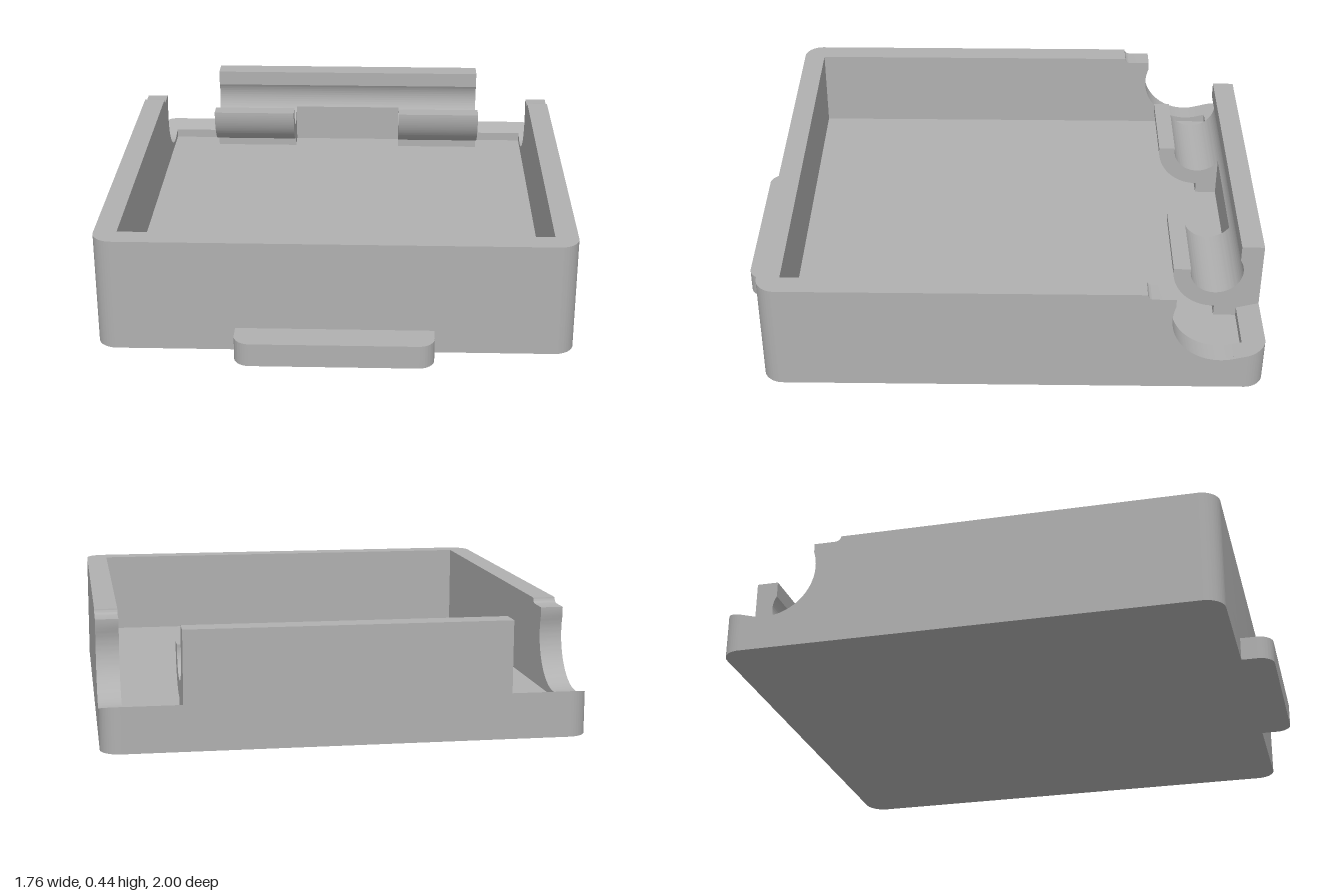
import * as THREE from 'three';
import { toCreasedNormals } from 'three/addons/utils/BufferGeometryUtils.js';

const W = 0.88, IN = 0.795, BACK = 1, FRONT = -0.88, R = 0.075; // plan sizes, v = -z
const H = 0.435, FLOOR = 0.11;
const PU = 0.83, PV = 0.32; // hinge axis, u = -z, v = y

const extrude = (shape, depth) =>
  new THREE.ExtrudeGeometry(shape, { depth, bevelEnabled: false, curveSegments: 28 });

// plan outline (x, -z) raised from y0 to y1
function raise(shape, y0, y1) {
  return extrude(shape, y1 - y0).rotateX(-Math.PI / 2).translate(0, y0, 0);
}

// side profile (-z, y) swept from x0 to x1
function sweep(shape, x0, x1) {
  return extrude(shape, x1 - x0).rotateY(Math.PI / 2).translate(x0, 0, 0);
}

export function createModel() {
  const model = new THREE.Group();
  model.name = 'hingedTray';
  const grey = new THREE.MeshStandardMaterial({ color: 0xb0b0b0 });
  grey.name = 'grey';
  const add = (name, geo) => {
    const mesh = new THREE.Mesh(toCreasedNormals(geo, 0.5), grey);
    mesh.name = name;
    model.add(mesh);
  };

  // floor slab with rounded corners
  const floor = new THREE.Shape();
  floor.absarc(W - R, BACK - R, R, 0, Math.PI / 2);
  floor.absarc(-W + R, BACK - R, R, Math.PI / 2, Math.PI);
  floor.absarc(-W + R, FRONT + R, R, Math.PI, Math.PI * 1.5);
  floor.absarc(W - R, FRONT + R, R, Math.PI * 1.5, Math.PI * 2);
  floor.closePath();
  add('floor', raise(floor, 0, FLOOR));

  // U-shaped front and side walls
  const walls = new THREE.Shape();
  walls.moveTo(-IN, 0.5);
  walls.lineTo(-W, 0.5);
  walls.absarc(-W + R, FRONT + R, R, Math.PI, Math.PI * 1.5);
  walls.absarc(W - R, FRONT + R, R, Math.PI * 1.5, Math.PI * 2);
  walls.lineTo(W, 0.5);
  walls.lineTo(IN, 0.5);
  walls.lineTo(IN, -IN);
  walls.lineTo(-IN, -IN);
  walls.closePath();
  add('frontAndSideWalls', raise(walls, FLOOR, H));

  // rear of each side wall, stepped and scooped around the hinge axis
  const scoop = new THREE.Shape();
  scoop.moveTo(0.5, FLOOR);
  scoop.lineTo(0.879, FLOOR);
  scoop.absarc(PU, PV, 0.19, -Math.PI * 75 / 180, -Math.PI * 198.4 / 180, true);
  scoop.lineTo(0.65, 0.415);
  scoop.lineTo(0.57, 0.415);
  scoop.quadraticCurveTo(0.548, 0.415, 0.545, H);
  scoop.lineTo(0.5, H);
  scoop.closePath();

  // back wall with hinge groove
  const groove = Math.acos(0.85);
  const back = new THREE.Shape();
  back.moveTo(0.915, FLOOR);
  back.lineTo(1, FLOOR);
  back.lineTo(1, H);
  back.lineTo(0.915, H);
  back.absarc(PU, PV, 0.1, groove, -groove, true);
  back.closePath();
  add('backWall', sweep(back, -0.59, 0.59));

  // curved hinge hook on its support
  const hook = new THREE.Shape();
  hook.moveTo(0.915, FLOOR);
  hook.lineTo(PU, FLOOR);
  hook.absarc(PU, PV, 0.165, -Math.PI / 2, -Math.PI - 0.06, true);
  hook.absarc(PU, PV, 0.1, -Math.PI - 0.1, -groove, false);
  hook.closePath();

  for (const s of [1, -1]) {
    const side = s > 0 ? 'left' : 'right';
    const span = (a, b) => (s > 0 ? [a, b] : [-b, -a]);
    add(side + 'HingeScoop', sweep(scoop, ...span(IN, W)));
    add(side + 'HingeHook', sweep(hook, ...span(0.235, 0.59)));

    // low back corner with a sloping top
    const corner = new THREE.Shape();
    corner.moveTo(s * IN, 0.879);
    corner.lineTo(s * W, 0.879);
    corner.absarc(s * (W - R), BACK - R, R, s > 0 ? 0 : Math.PI, Math.PI / 2, s < 0);
    corner.lineTo(s * 0.59, BACK);
    corner.lineTo(s * 0.59, 0.915);
    corner.lineTo(s * IN, 0.915);
    corner.closePath();
    const geo = raise(corner, FLOOR, 0.2);
    const p = geo.attributes.position;
    for (let i = 0; i < p.count; i++) {
      if (p.getY(i) > 0.15) p.setY(i, 0.1365 + (-p.getZ(i) - 0.879) * 0.268);
    }
    add(side + 'BackCorner', geo);
  }

  // finger tab at the front
  const tab = new THREE.Shape();
  tab.moveTo(0.365, FRONT);
  tab.lineTo(-0.365, FRONT);
  tab.absarc(-0.305, -0.94, 0.06, Math.PI, Math.PI * 1.5);
  tab.absarc(0.305, -0.94, 0.06, Math.PI * 1.5, Math.PI * 2);
  tab.closePath();
  add('frontTab', raise(tab, 0, 0.09));

  return model;
}
